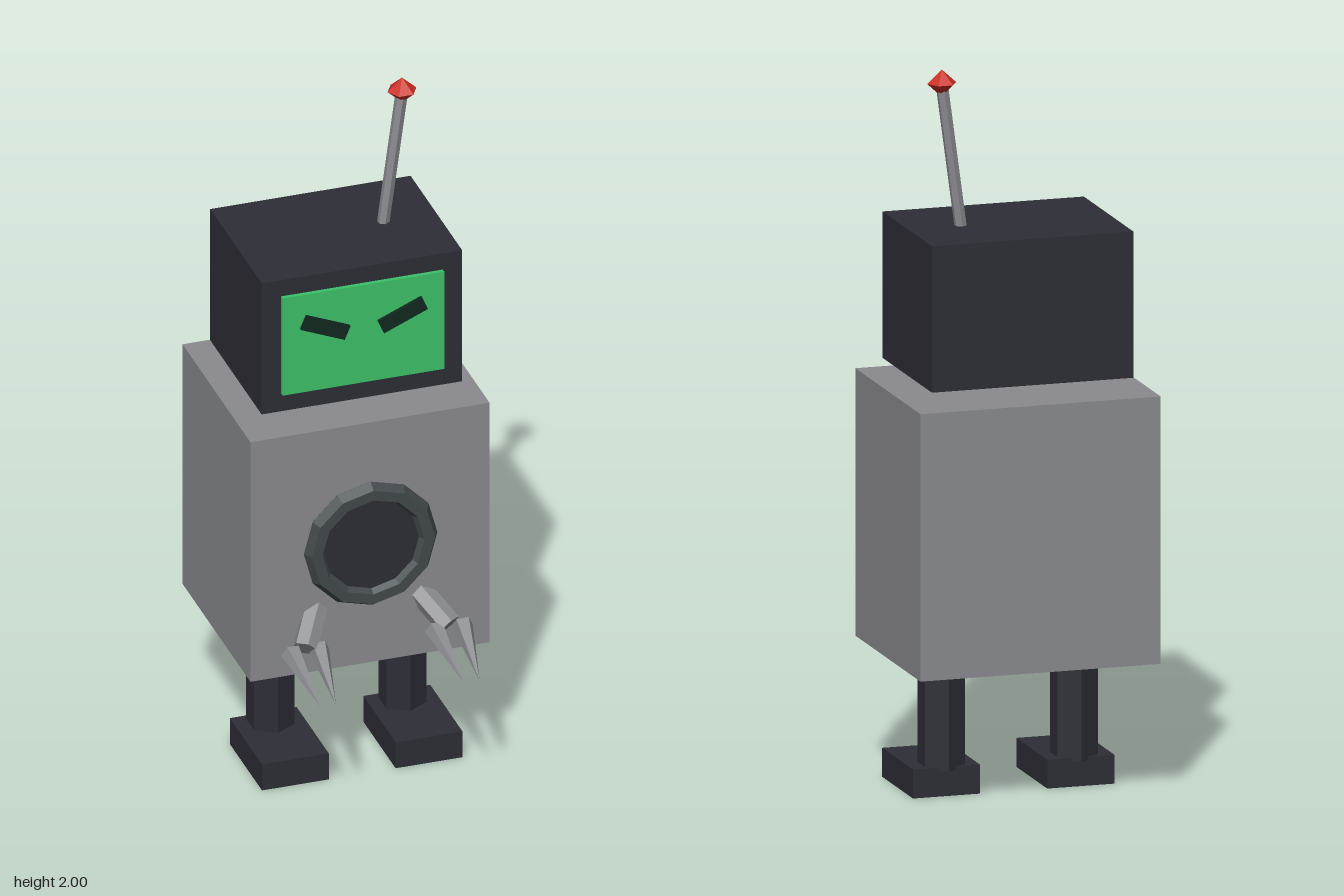
import * as THREE from 'three';

const paint = (name, color) => {
  const m = new THREE.MeshStandardMaterial({ color, flatShading: true });
  m.name = name;
  return m;
};

export function createModel() {
  const robot = new THREE.Group();
  robot.name = 'robot';

  const grey = paint('body grey', 0x8a8b8f);
  const navy = paint('dark navy', 0x2d2d36);
  const green = paint('screen green', 0x3cc168);
  const eyeDark = paint('eye dark green', 0x12291f);
  const slate = paint('ring slate', 0x42494c);
  const red = paint('antenna red', 0xcb2d22);

  const add = (name, geometry, material, x = 0, y = 0, z = 0, parent = robot) => {
    const mesh = new THREE.Mesh(geometry, material);
    mesh.name = name;
    mesh.position.set(x, y, z);
    parent.add(mesh);
    return mesh;
  };
  // Box from its minimum and maximum corners
  const box = (name, material, a, b, parent) =>
    add(name, new THREE.BoxGeometry(b[0] - a[0], b[1] - a[1], b[2] - a[2]), material,
      (a[0] + b[0]) / 2, (a[1] + b[1]) / 2, (a[2] + b[2]) / 2, parent);
  // Tapered rod running between two points
  const rod = (name, material, from, to, r0, r1, sides, parent) => {
    const a = new THREE.Vector3(...from), b = new THREE.Vector3(...to);
    const dir = b.clone().sub(a), mid = a.clone().add(b).multiplyScalar(0.5);
    const mesh = add(name, new THREE.CylinderGeometry(r1, r0, dir.length(), sides), material,
      mid.x, mid.y, mid.z, parent);
    mesh.quaternion.setFromUnitVectors(new THREE.Vector3(0, 1, 0), dir.normalize());
    return mesh;
  };

  // Body and floating head
  box('body', grey, [-0.34, 0.38, -0.415], [0.34, 1.12, 0.155]);
  box('head', navy, [-0.285, 1.16, -0.345], [0.285, 1.565, 0.087]);
  box('screen', green, [-0.23, 1.215, 0.08], [0.23, 1.515, 0.1]);

  // Chest porthole
  add('chestRing', new THREE.TorusGeometry(0.16, 0.03, 6, 12), slate, 0, 0.75, 0.16);
  const disc = add('chestDisc', new THREE.CylinderGeometry(0.138, 0.138, 0.02, 24), navy, 0, 0.75, 0.158);
  disc.rotation.x = Math.PI / 2;

  // Antenna leaning to the left
  rod('antenna', grey, [0.133, 1.55, -0.131], [0.188, 1.96, -0.131], 0.017, 0.017, 6);
  add('antennaTip', new THREE.SphereGeometry(0.041, 6, 2), red, 0.188, 1.962, -0.131).scale.y = 0.92;

  // Paired parts
  for (const [side, s] of [['left', 1], ['right', -1]]) {
    const eye = add(side + 'Eye', new THREE.BoxGeometry(0.135, 0.043, 0.009), eyeDark, s * 0.11, 1.407, 0.1045);
    eye.rotation.z = s * 0.4;

    const leg = new THREE.Group();
    leg.name = side + 'Leg';
    robot.add(leg);
    add('shin', new THREE.CylinderGeometry(0.066, 0.066, 0.33, 6), navy, s * 0.188, 0.235, -0.127, leg);
    const x0 = s * 0.095, x1 = s * 0.285;
    box('foot', navy, [Math.min(x0, x1), 0, -0.18], [Math.max(x0, x1), 0.08, 0.09], leg);

    const arm = new THREE.Group();
    arm.name = side + 'Arm';
    robot.add(arm);
    rod('forearm', grey, [s * 0.139, 0.575, 0.12], [s * 0.205, 0.49, 0.215], 0.035, 0.035, 6, arm);
    rod('outerClaw', grey, [s * 0.244, 0.485, 0.213], [s * 0.226, 0.415, 0.41], 0.029, 0, 5, arm);
    rod('innerClaw', grey, [s * 0.165, 0.485, 0.213], [s * 0.183, 0.415, 0.41], 0.029, 0, 5, arm);
  }
  return robot;
}
